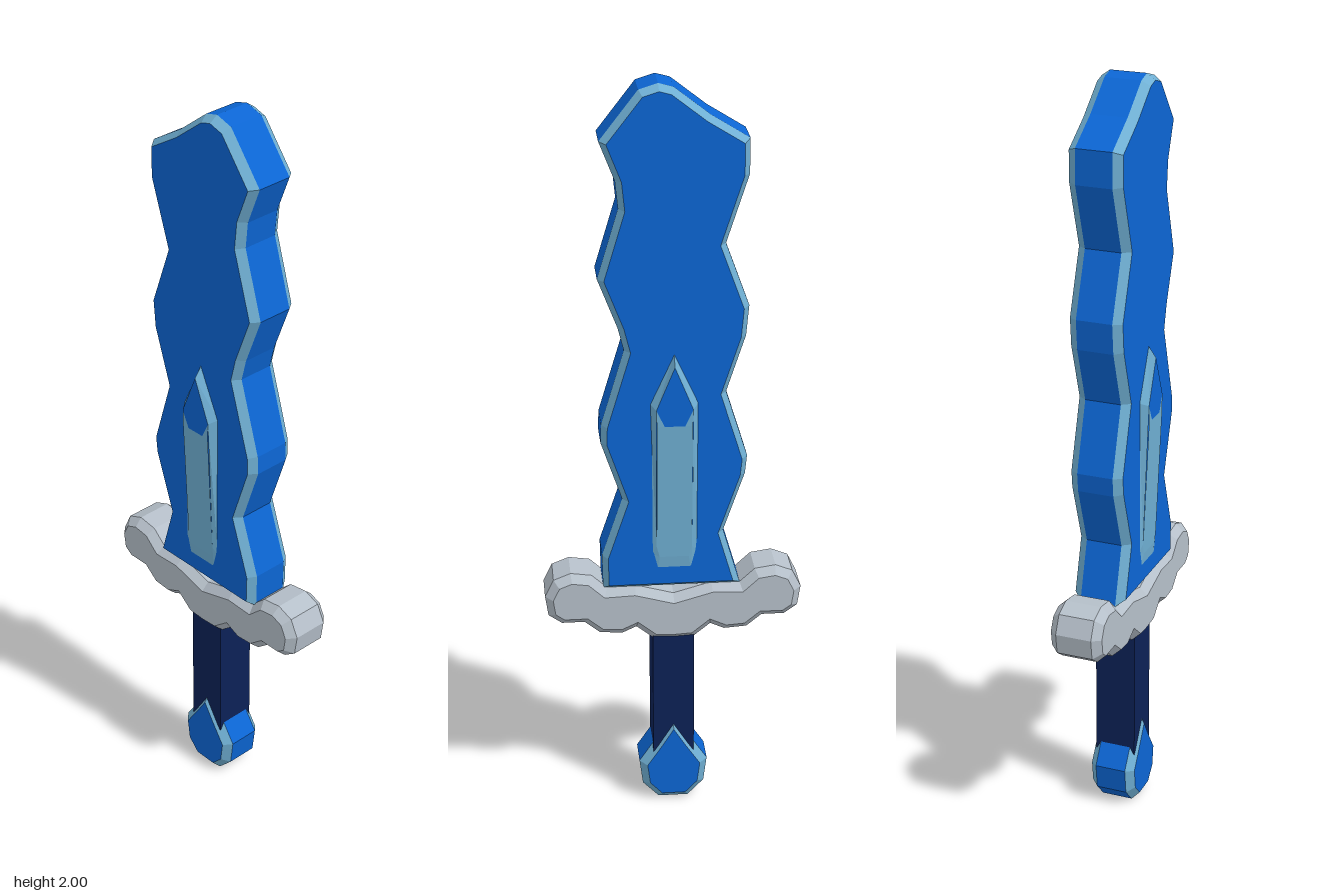
import * as THREE from 'three';

const mat = (name, color, extra = {}) => {
  const m = new THREE.MeshStandardMaterial({ color, ...extra });
  m.name = name;
  return m;
};

// Collects triangles and quads into a flat-shaded mesh
function facesMesh(name, tris, material) {
  const g = new THREE.BufferGeometry();
  g.setAttribute('position', new THREE.Float32BufferAttribute(tris.flat(2), 3));
  g.computeVertexNormals();
  const mesh = new THREE.Mesh(g, material);
  mesh.name = name;
  return mesh;
}
const quad = (a, b, c, d) => [[a, b, c], [a, c, d]];

// Moves each side of a counter-clockwise outline inwards by d
function insetOutline(pts, d) {
  const n = pts.length;
  return pts.map((p, i) => {
    const a = pts[(i + n - 1) % n], b = pts[(i + 1) % n];
    const u = new THREE.Vector2(p[0] - a[0], p[1] - a[1]).normalize();
    const v = new THREE.Vector2(b[0] - p[0], b[1] - p[1]).normalize();
    const k = d / Math.max(0.4, 1 + u.dot(v));
    return [p[0] - (u.y + v.y) * k, p[1] + (u.x + v.x) * k];
  });
}

// Slab with chamfered rims: faces and edge in one colour, chamfers in another
function slab(name, outline, inset, depth, bevel, faceMat, bevelMat) {
  const inner = insetOutline(outline, inset);
  const at = (p, z) => [p[0], p[1], z];
  const flat = [], rim = [];
  const cap = THREE.ShapeUtils.triangulateShape(inner.map(p => new THREE.Vector2(...p)), []);
  for (const [a, b, c] of cap) {
    flat.push([a, b, c].map(i => at(inner[i], depth)));
    flat.push([c, b, a].map(i => at(inner[i], -depth)));
  }
  const e = depth - bevel;
  outline.forEach((p, i) => {
    const j = (i + 1) % outline.length, q = outline[j];
    flat.push(...quad(at(p, -e), at(q, -e), at(q, e), at(p, e)));
    rim.push(...quad(at(p, e), at(q, e), at(inner[j], depth), at(inner[i], depth)));
    rim.push(...quad(at(inner[i], -depth), at(inner[j], -depth), at(q, -e), at(p, -e)));
  });
  const group = new THREE.Group();
  group.name = name;
  group.add(facesMesh(name + 'Body', flat, faceMat), facesMesh(name + 'Chamfer', rim, bevelMat));
  return group;
}

// Completes a left-right symmetric outline from its +x half (bottom to top)
const mirrored = half => [
  ...half,
  ...half.filter(p => p[0] > 0).reverse().map(([x, y]) => [-x, y]),
];

// Raised ridge on the blade, sloping down to the blade surface at its foot
function ridge(blue, pale) {
  const foot = mirrored([[0.045, 0.7], [0.06, 0.76], [0.062, 1.18], [0, 1.315]]);
  const top = mirrored([[0.038, 0.75], [0.046, 0.78], [0.047, 1.17], [0, 1.285]]);
  const zTop = y => (y > 1.12 ? 0.09 : 0.09 - (1.12 - y) * 0.045);
  const A = foot.map(([x, y]) => [x, y, Math.min(0.068, zTop(y))]);
  const B = top.map(([x, y]) => [x, y, zTop(y)]);
  const sides = [];
  A.forEach((p, i) => {
    const j = (i + 1) % A.length;
    sides.push(...quad(p, A[j], B[j], B[i]));
  });
  // Point under the gem, where the slope begins
  const R = [0.046, 1.125, 0.09], L = [-0.046, 1.125, 0.09];
  const slope = [...quad(B[0], B[1], B[5], B[6]), ...quad(B[1], R, L, B[5])];
  const r = [0.026, 1.125, 0.09], l = [-0.026, 1.125, 0.09];
  const corners = [[R, B[2], r], [L, l, B[4]]];
  const gem = [...quad(l, r, B[2], B[4]), [B[2], B[3], B[4]]];
  const group = new THREE.Group();
  group.name = 'ridge';
  group.add(facesMesh('ridgeBody', [...sides, ...slope, ...corners], pale));
  group.add(facesMesh('ridgeTip', gem, blue));
  return group;
}

export function createModel() {
  const blue = mat('blade blue', 0x0c66d4);
  const pale = mat('pale blue', 0x70b0d4);
  const grey = mat('guard grey', 0xb6c0ca);
  const navy = mat('handle navy', 0x0c2156);
  const model = new THREE.Group();
  model.name = 'dagger';

  // Wavy blade, counter-clockwise from its lower left corner
  const bladeOutline = [
    [-0.175, 0.655], [0.185, 0.655], [0.187, 0.75], [0.133, 0.91], [0.187, 1.07], [0.185, 1.12],
    [0.125, 1.32], [0.14, 1.38], [0.19, 1.51], [0.136, 1.69], [0.143, 1.76], [0.182, 1.86],
    [0.085, 1.985], [0.037, 2], [0, 1.99], [-0.09, 1.92], [-0.187, 1.86], [-0.187, 1.77],
    [-0.13, 1.595], [-0.19, 1.43], [-0.183, 1.35], [-0.134, 1.2], [-0.19, 1.02], [-0.185, 0.97],
    [-0.13, 0.81],
  ];
  model.add(slab('blade', bladeOutline, 0.015, 0.07, 0.022, blue, pale));

  // Ridges on both faces
  for (const turn of [0, Math.PI]) {
    const r = ridge(blue, pale);
    r.rotation.y = turn;
    model.add(r);
  }

  // Scalloped guard
  const guardOutline = mirrored([
    [0, 0.497], [0.055, 0.5], [0.098, 0.535], [0.135, 0.518], [0.195, 0.522], [0.235, 0.555],
    [0.295, 0.555], [0.33, 0.58], [0.338, 0.635], [0.315, 0.682], [0.27, 0.7], [0.215, 0.692],
    [0.175, 0.655], [0.1, 0.658], [0, 0.63],
  ]);
  model.add(slab('guard', guardOutline, 0.02, 0.07, 0.022, grey, grey));

  // Square handle
  const handle = new THREE.Mesh(new THREE.BoxGeometry(0.11, 0.42, 0.11), navy);
  handle.name = 'handle';
  handle.position.y = 0.36;
  model.add(handle);

  // Teardrop pommel
  const pommelOutline = mirrored([
    [0.04, 0], [0.083, 0.045], [0.092, 0.115], [0.05, 0.178], [0, 0.258],
  ]);
  model.add(slab('pommel', pommelOutline, 0.02, 0.062, 0.02, blue, pale));

  return model;
}
